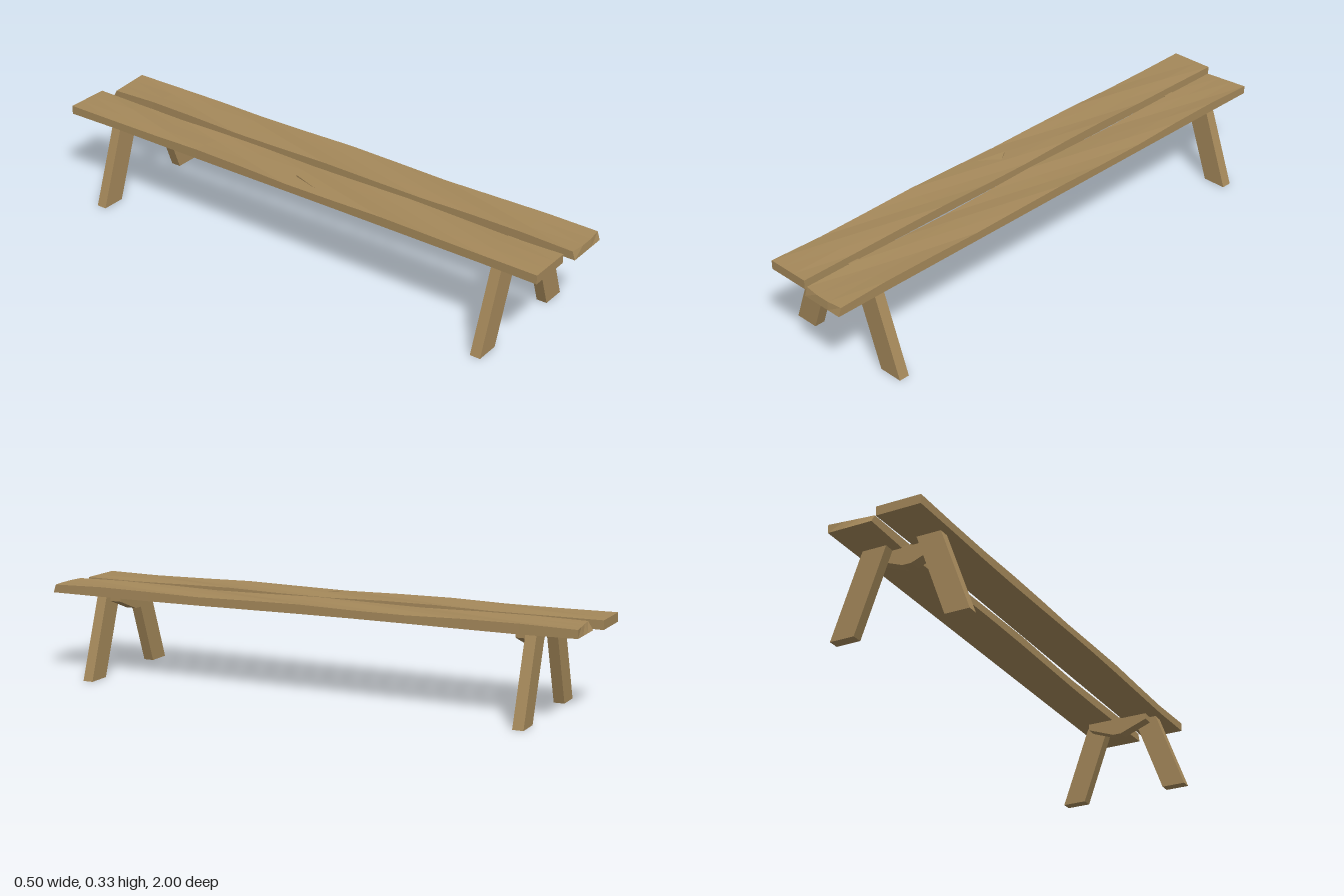
import * as THREE from 'three';
import { ConvexGeometry } from 'three/addons/geometries/ConvexGeometry.js';

export function createModel() {
  const group = new THREE.Group();
  const wood = new THREE.MeshStandardMaterial({ color: 0xa4885a, flatShading: true });

  function add(name, geometry) {
    const mesh = new THREE.Mesh(geometry, wood);
    mesh.name = name;
    group.add(mesh);
  }

  // Flat board cut from an outline in x and y, lying between two z values
  function board(name, outline, zMin, zMax) {
    const shape = new THREE.Shape(outline.map(([x, y]) => new THREE.Vector2(x, y)));
    const geo = new THREE.ExtrudeGeometry(shape, { depth: zMax - zMin, bevelEnabled: false });
    add(name, geo.translate(0, 0, zMin));
  }

  // Rough hewn plank: a segmented box with gently uneven faces and edges
  function plank(name, x0, x1, z0, z1, phase, endTaper) {
    const geo = new THREE.BoxGeometry(1, 1, 1, 3, 1, 10);
    const p = geo.attributes.position;
    for (let i = 0; i < p.count; i++) {
      const u = p.getX(i), v = p.getY(i), w = p.getZ(i);
      const wave = Math.sin(w * 9 + phase);
      const ripple = Math.sin(w * 17 + u * 6 + phase * 2);
      const atEnd = Math.abs(w) > 0.49;
      const edge = Math.abs(u) > 0.49 && !atEnd ? 0.002 * Math.sign(u) * (wave - 1) : 0;
      const x = THREE.MathUtils.lerp(x0, x1, u + 0.5) + edge;
      let y = v > 0 ? 0.327 + 0.003 * ripple : 0.296 + 0.002 * wave;
      if (atEnd) y = v > 0 ? 0.326 : 0.294 + 0.003 * endTaper;
      let z = THREE.MathUtils.lerp(z0, z1, w + 0.5);
      // Slightly slanted saw cuts
      if (atEnd) z -= Math.sign(w) * endTaper * (w < 0 ? 0.018 * (0.5 - u) * (v + 0.5) : 0.02 * Math.abs(u) * (v + 0.5));
      p.setXYZ(i, x, y, z);
    }
    geo.computeVertexNormals();
    add(name, geo);
  }

  plank('rightPlank', -0.175, -0.015, -1, 0.97, 0.6, 0);
  plank('leftPlank', 0.017, 0.177, -0.975, 0.995, 2.3, 1);

  // Raised splinter on the right plank
  add('splinter', new ConvexGeometry([
    [-0.115, 0.334, -0.01], [-0.115, 0.322, -0.01],
    [-0.16, 0.324, 0.15], [-0.065, 0.324, 0.07], [-0.105, 0.323, 0.05],
  ].map((c) => new THREE.Vector3(...c))));

  // Trestles: splayed legs with a brace on the inner side
  for (const [end, s] of [['front', 1], ['back', -1]]) {
    const span = (a, b) => (s > 0 ? [a, b] : [-b, -a]);
    for (const [side, m] of [['Left', 1], ['Right', -1]]) {
      board(end + side + 'Leg',
        [[0.163, 0], [0.251, 0], [0.142, 0.3], [0.054, 0.3]].map(([x, y]) => [m * x, y]),
        ...span(0.79, 0.828));
    }
    board(end + 'Brace',
      [[-0.12, 0.3], [-0.12, 0.272], [-0.015, 0.232], [0.017, 0.232], [0.12, 0.272], [0.12, 0.3]],
      ...span(0.748, 0.79));
  }
  return group;
}
